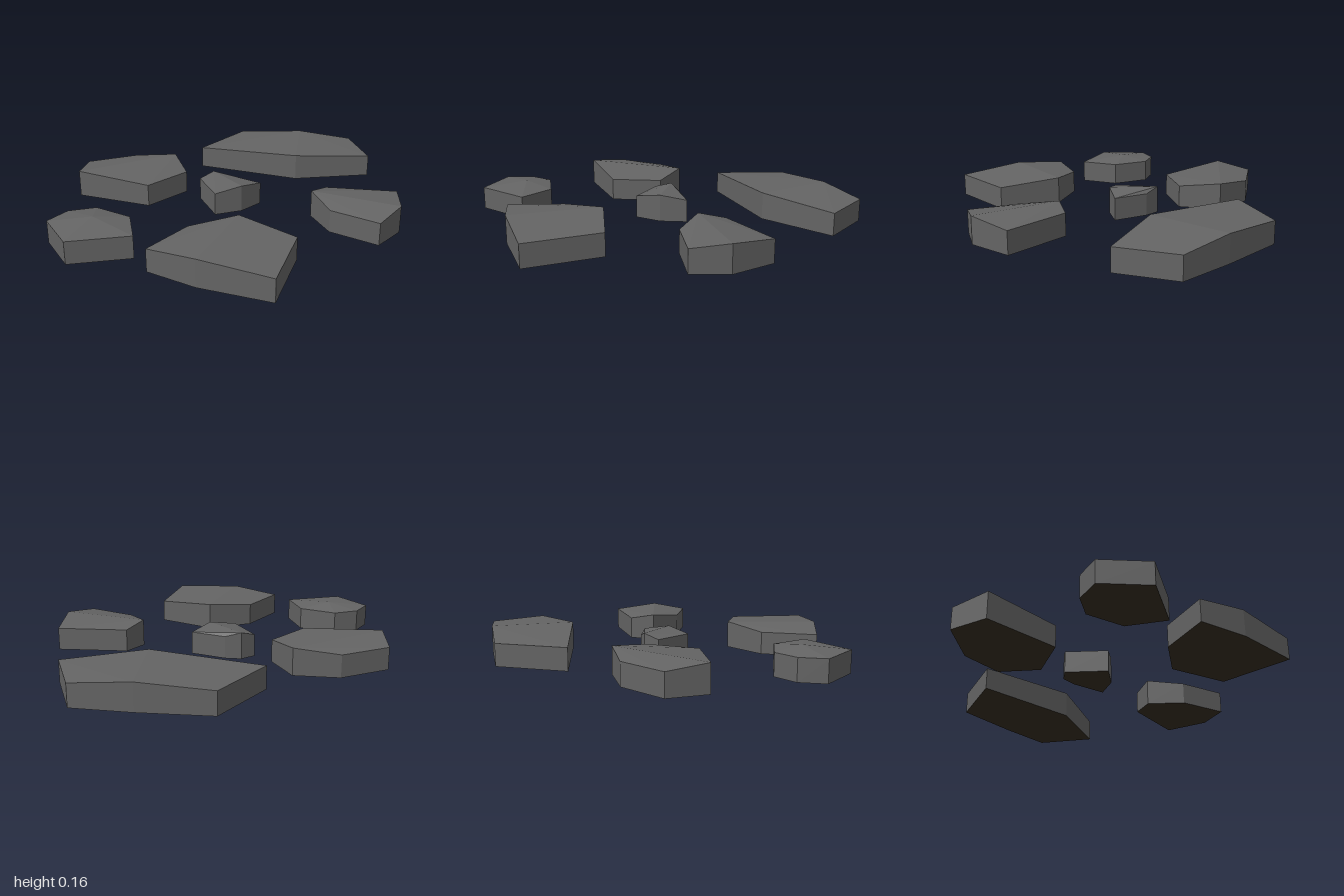
import * as THREE from 'three';

const LOW = 0.13, HIGH = 0.157;

// Outlines run left, back, right, front as [x, z].
// ridge: index of a raised corner (the opposite corner is raised too); peak: raised inner point.
const STONES = [
  { name: 'backStone', ridge: 2, outline: [[-0.36, -0.57], [-0.18, -0.96], [0.22, -0.993], [0.555, -1], [0.72, -0.69], [0.28, -0.51]] },
  { name: 'leftSideStone', ridge: 2, outline: [[-0.98, -0.15], [-0.73, -0.33], [-0.47, -0.345], [-0.33, -0.14], [-0.485, 0.12], [-0.94, 0.08]] },
  { name: 'centreStone', ridge: 1, outline: [[-0.22, -0.06], [-0.155, -0.13], [-0.06, -0.135], [0.145, -0.085], [0.065, 0.05], [-0.07, 0.14]] },
  { name: 'rightSideStone', ridge: 0, outline: [[0.465, 0.015], [0.53, -0.12], [0.935, -0.165], [0.975, 0.1], [0.88, 0.29], [0.6, 0.195]] },
  { name: 'smallFrontStone', peak: [-0.6, 0.645], outline: [[-0.84, 0.705], [-0.785, 0.56], [-0.65, 0.48], [-0.43, 0.545], [-0.33, 0.755], [-0.645, 0.905]] },
  { name: 'largeFrontStone', ridge: 2, outline: [[-0.22, 0.87], [-0.095, 0.575], [0.145, 0.43], [0.485, 0.555], [0.465, 0.995], [0.065, 0.955]] },
];

function stoneGeometry({ outline, ridge, peak }) {
  const n = outline.length;
  const raised = (i) => ridge !== undefined && i % 3 === ridge % 3;
  const top = outline.map(([x, z], i) => [x, raised(i) ? HIGH : LOW, z]);
  const base = outline.map(([x, z]) => [x, 0, z]);
  const points = [];
  const tri = (a, b, c) => points.push(...a, ...b, ...c);

  // faceted top, fanned from the peak or from a ridge corner
  const hub = peak ? [peak[0], HIGH, peak[1]] : top[ridge];
  for (let i = 0; i < n; i++) {
    const j = (i + 1) % n;
    if (peak || (i !== ridge && j !== ridge)) tri(hub, top[j], top[i]);
  }
  // upright walls
  for (let i = 0; i < n; i++) {
    const j = (i + 1) % n;
    tri(base[j], base[i], top[i]);
    tri(base[j], top[i], top[j]);
  }
  const upper = points.length / 3;
  // flat underside
  for (let i = 1; i < n - 1; i++) tri(base[0], base[i], base[i + 1]);

  const geometry = new THREE.BufferGeometry();
  geometry.setAttribute('position', new THREE.Float32BufferAttribute(points, 3));
  geometry.addGroup(0, upper, 0);
  geometry.addGroup(upper, points.length / 3 - upper, 1);
  geometry.computeVertexNormals();
  return geometry;
}

export function createModel() {
  const group = new THREE.Group();
  group.name = 'steppingStones';
  const stone = new THREE.MeshStandardMaterial({ color: 0x646464 });
  stone.name = 'greyStone';
  const earth = new THREE.MeshStandardMaterial({ color: 0x352c20 });
  earth.name = 'darkEarth';

  for (const spec of STONES) {
    const mesh = new THREE.Mesh(stoneGeometry(spec), [stone, earth]);
    mesh.name = spec.name;
    group.add(mesh);
  }
  return group;
}
